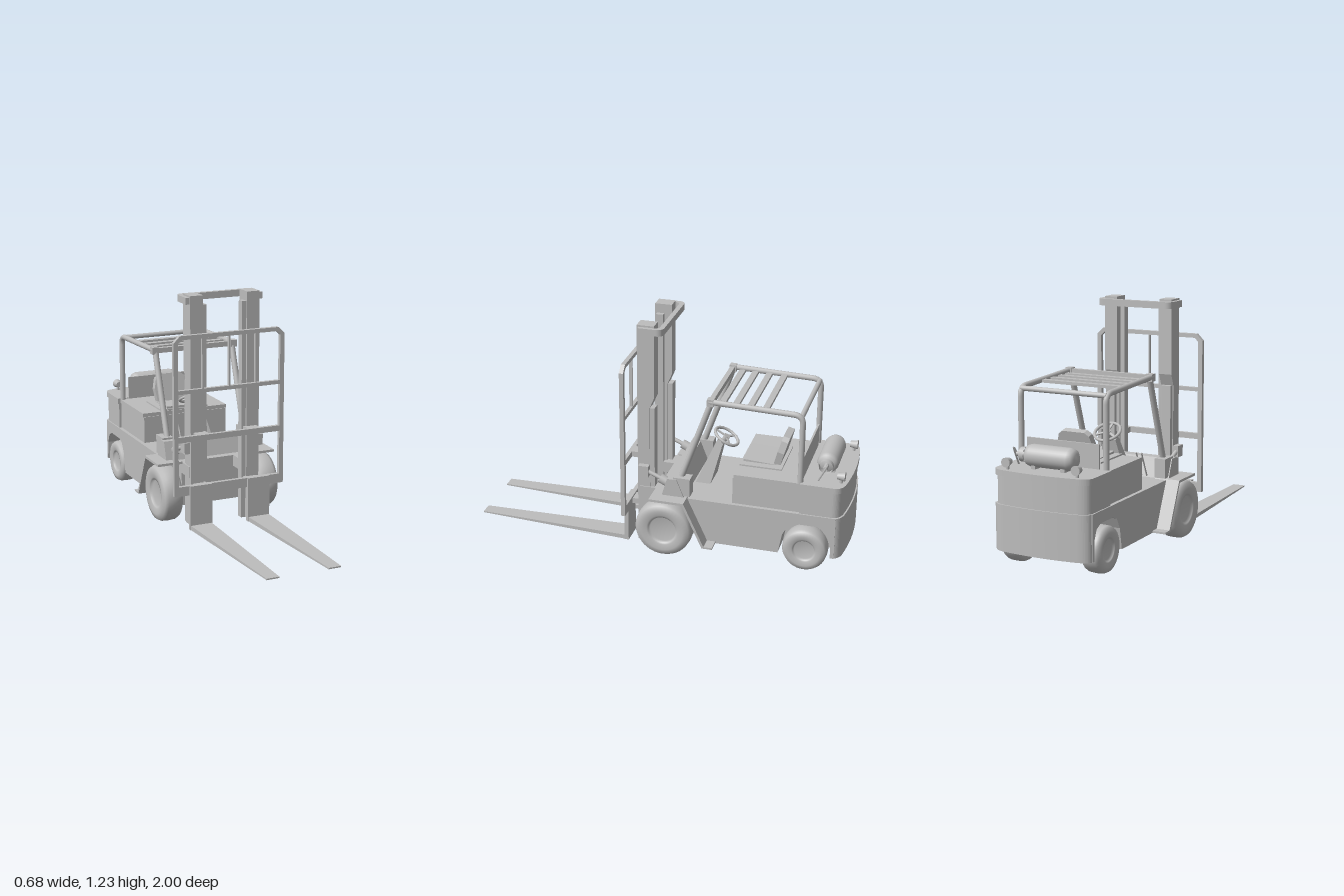
import * as THREE from 'three';

const grey = new THREE.MeshStandardMaterial({ color: 0xbdbdbd, side: THREE.DoubleSide });
grey.name = 'plain grey';

export function createModel() {
  const model = new THREE.Group();
  model.name = 'forklift';

  const add = (name, geo) => {
    const m = new THREE.Mesh(geo, grey);
    m.name = name;
    model.add(m);
    return m;
  };
  // box from its limits
  const box = (name, x0, x1, y0, y1, z0, z1) =>
    add(name, new THREE.BoxGeometry(x1 - x0, y1 - y0, z1 - z0)
      .translate((x0 + x1) / 2, (y0 + y1) / 2, (z0 + z1) / 2));
  const shapeOf = pts => new THREE.Shape(pts.map(p => new THREE.Vector2(p[0], p[1])));
  const extrude = (shape, depth) => new THREE.ExtrudeGeometry(shape, { depth, bevelEnabled: false });
  // side profile of [z, y] points, stretched from x0 to x1
  const side = (name, pts, x0, x1) =>
    add(name, extrude(shapeOf(pts.map(([z, y]) => [-z, y])), x1 - x0).rotateY(Math.PI / 2).translate(x0, 0, 0));
  // slab with a bowed, round-cornered rear end
  const rearSlab = (name, w, zFront, zBack, y0, y1) => {
    const s = new THREE.Shape();
    s.moveTo(-w, -zFront);
    s.lineTo(w, -zFront);
    s.lineTo(w, -zBack - 0.07);
    s.quadraticCurveTo(w, -zBack - 0.025, w - 0.06, -zBack - 0.015);
    s.quadraticCurveTo(0, -zBack + 0.015, 0.06 - w, -zBack - 0.015);
    s.quadraticCurveTo(-w, -zBack - 0.025, -w, -zBack - 0.07);
    return add(name, extrude(s, y1 - y0).rotateX(-Math.PI / 2).translate(0, y0, 0));
  };
  // tube along points with rounded bends
  const pipe = (name, points, r, bend = 0.04, sides = 10) => {
    const p = points.map(a => new THREE.Vector3(...a));
    const path = new THREE.CurvePath();
    let last = p[0];
    for (let i = 1; i < p.length - 1; i++) {
      const a = p[i].clone().add(p[i - 1].clone().sub(p[i]).setLength(bend));
      const b = p[i].clone().add(p[i + 1].clone().sub(p[i]).setLength(bend));
      path.add(new THREE.LineCurve3(last, a));
      path.add(new THREE.QuadraticBezierCurve3(a, p[i], b));
      last = b;
    }
    path.add(new THREE.LineCurve3(last, p[p.length - 1]));
    return add(name, new THREE.TubeGeometry(path, p.length > 2 ? 64 : 1, r, sides));
  };
  // capped straight rod
  const rod = (name, a, b, r, r2 = r) => {
    const A = new THREE.Vector3(...a), B = new THREE.Vector3(...b), d = B.clone().sub(A);
    const m = add(name, new THREE.CylinderGeometry(r2, r, d.length(), 16));
    m.position.copy(A).add(B).multiplyScalar(0.5);
    m.quaternion.setFromUnitVectors(new THREE.Vector3(0, 1, 0), d.normalize());
    return m;
  };
  // rounded tyre with a dished hub, axle along x
  const wheel = (name, x, y, z, r, w, rim) => {
    const pts = [[0, 0.3], [rim * 0.8, 0.3], [rim * 0.88, 0.42], [rim, 0.43], [rim + (r - rim) * 0.4, 0.5],
      [r * 0.92, 0.43], [r * 0.985, 0.28], [r, 0]];
    const all = [...pts, ...pts.slice(0, -1).reverse().map(([a, b]) => [a, -b])];
    const geo = new THREE.LatheGeometry(all.map(([a, b]) => new THREE.Vector2(a, -b * w)), 40);
    add(name, geo.rotateZ(-Math.PI / 2).translate(x, y, z));
  };

  // chassis with rear wheel arches
  const profile = [[-0.17, 0.33], [-0.28, 0.09], [-0.66, 0.09], [-0.68, 0.2], [-0.71, 0.255], [-0.75, 0.27],
    [-0.87, 0.27], [-0.91, 0.25], [-0.93, 0.2], [-0.94, 0.1], [-0.95, 0.1], [-0.95, 0.33]];
  side('chassisSideLeft', profile, 0.14, 0.265);
  side('chassisSideRight', profile, -0.265, -0.14);
  box('chassisCore', -0.14, 0.14, 0.09, 0.33, -0.94, -0.2);
  box('frontChassis', -0.2, 0.2, 0.09, 0.33, -0.28, 0.0);
  rearSlab('counterweight', 0.265, -0.93, -1, 0.1, 0.33);

  // engine hood in two steps
  box('engineHood', -0.245, 0.245, 0.33, 0.475, -0.78, -0.41);
  box('hoodLid', -0.25, 0.25, 0.475, 0.495, -0.78, -0.415);
  rearSlab('rearHood', 0.258, -0.76, -0.993, 0.33, 0.47);
  rearSlab('rearHoodLid', 0.265, -0.76, -1, 0.47, 0.5);
  box('rearPanel', -0.2, 0.2, 0.495, 0.62, -0.765, -0.755);

  // cowl
  side('frontCowl', [[-0.04, 0.33], [-0.07, 0.43], [-0.12, 0.43], [-0.16, 0.33]], -0.27, 0.27);

  // steering column, wheel and levers
  const column = side('steeringColumn', [[-0.17, 0.33], [-0.265, 0.555], [-0.3, 0.54], [-0.25, 0.33]], -1, 1);
  const cp = column.geometry.attributes.position;
  for (let i = 0; i < cp.count; i++) cp.setX(i, cp.getX(i) * (0.075 - (cp.getY(i) - 0.33) * 0.18));
  column.geometry.computeVertexNormals();
  const steering = new THREE.Group();
  steering.name = 'steeringWheel';
  const rim = new THREE.Mesh(new THREE.TorusGeometry(0.068, 0.008, 8, 32).rotateX(Math.PI / 2), grey);
  rim.name = 'steeringRim';
  const hub = new THREE.Mesh(new THREE.CylinderGeometry(0.018, 0.014, 0.03, 16).translate(0, -0.01, 0), grey);
  hub.name = 'steeringHub';
  steering.add(rim, hub);
  for (let i = 0; i < 3; i++) {
    const spoke = new THREE.Mesh(new THREE.BoxGeometry(0.012, 0.006, 0.068).translate(0, 0, 0.034), grey);
    spoke.name = 'steeringSpoke';
    spoke.rotation.y = i * Math.PI * 2 / 3;
    steering.add(spoke);
  }
  steering.position.set(0, 0.582, -0.315);
  steering.rotation.x = -Math.PI / 6;
  model.add(steering);
  rod('steeringShaft', [0, 0.53, -0.28], [0, 0.58, -0.314], 0.012);
  for (const x of [-0.15, -0.12]) rod('controlLever', [x, 0.34, -0.17], [x, 0.47, -0.23], 0.004);

  // seat
  box('seatTray', -0.14, 0.14, 0.495, 0.503, -0.64, -0.42);
  side('seatCushion', [[-0.43, 0.5], [-0.43, 0.515], [-0.6, 0.505], [-0.6, 0.5]], -0.1, 0.1);
  const back = shapeOf([[-0.09, 0], [0.09, 0], [0.1, 0.08], [0.085, 0.14], [0.06, 0.158], [-0.06, 0.158], [-0.085, 0.14], [-0.1, 0.08]]);
  const seatBack = add('seatBack', extrude(back, 0.035));
  seatBack.position.set(0, 0.492, -0.62);
  seatBack.rotation.x = -0.27;

  // gas tank
  const tank = [[0, -0.145], [0.03, -0.14], [0.048, -0.128], [0.055, -0.105], [0.055, 0.1], [0.048, 0.123], [0.03, 0.135], [0, 0.14]];
  add('gasTank', new THREE.LatheGeometry(tank.map(p => new THREE.Vector2(...p)), 32).rotateZ(-Math.PI / 2).translate(0, 0.56, -0.87));
  rod('tankValve', [0.13, 0.56, -0.87], [0.19, 0.56, -0.87], 0.012);
  add('tankCollar', new THREE.CylinderGeometry(0.036, 0.036, 0.025, 20, 1, true).rotateZ(Math.PI / 2).translate(0.15, 0.56, -0.87));
  pipe('tankHose', [[0.19, 0.56, -0.87], [0.2, 0.6, -0.89], [0.2, 0.5, -0.84]], 0.005, 0.02, 6);
  for (const x of [-0.08, 0.08]) box('tankCradle', x - 0.012, x + 0.012, 0.495, 0.52, -0.905, -0.835);

  // overhead guard
  for (const s of [-1, 1]) {
    pipe('guardSide', [[s * 0.235, 0.49, -0.757], [s * 0.235, 0.862, -0.757], [s * 0.235, 0.877, -0.28]], 0.015, 0.045);
    rod('guardFrontLeg', [s * 0.225, 0.36, -0.11], [s * 0.225, 0.875, -0.29], 0.016);
    box('guardCorner', s * 0.23 - 0.018, s * 0.23 + 0.018, 0.855, 0.893, -0.305, -0.27);
    box('legFoot', s * 0.235 - 0.03, s * 0.235 + 0.03, 0.34, 0.44, -0.19, -0.1);
  }
  box('guardFrontBar', -0.235, 0.235, 0.86, 0.887, -0.3, -0.275);
  for (const z of [-0.34, -0.41, -0.485, -0.565]) box('guardSlat', -0.235, 0.235, 0.857, 0.872, z - 0.016, z + 0.016);
  rod('guardRearBar', [-0.235, 0.855, -0.75], [0.235, 0.855, -0.75], 0.013);

  for (const s of [-1, 1]) {
    // wheels and front mudguards
    wheel('frontWheel', s * 0.277, 0.157, -0.06, 0.152, 0.115, 0.085);
    wheel('rearWheel', s * 0.222, 0.122, -0.795, 0.117, 0.105, 0.064);
    const x0 = s > 0 ? 0.2 : -0.338;
    side('mudguard', [[0.01, 0.322], [0.01, 0.335], [-0.175, 0.335], [-0.285, 0.1], [-0.33, 0.1], [-0.33, 0.09],
      [-0.275, 0.09], [-0.168, 0.322]], x0, x0 + 0.138);

    // rear lights
    rod('lightStem', [s * 0.19, 0.495, -0.955], [s * 0.19, 0.52, -0.955], 0.008);
    rod('rearLight', [s * 0.19, 0.535, -0.935], [s * 0.19, 0.535, -0.975], 0.016, 0.024);

    // mast rails
    const rail = (n, a, b, y0, y1, z0, z1) => box(n, Math.min(s * a, s * b), Math.max(s * a, s * b), y0, y1, z0, z1);
    rail('mastRail', 0.124, 0.195, 0.01, 1.23, 0.045, 0.11);
    const ax = s > 0 ? 0.124 : -0.195;
    side('mastRailRear', [[0.045, 1.23], [0.02, 1.23], [0.02, 0.84], [0.045, 0.78]], ax, ax + 0.071);
    rail('innerMast', 0.1, 0.124, 0.01, 1.18, 0.06, 0.1);
    rail('outerMast', 0.14, 0.19, 0.01, 0.78, 0.02, 0.045);
    rail('mastPivot', 0.1, 0.2, 0.27, 0.33, -0.02, 0.1);
    rail('tiltBracket', 0.165, 0.225, 0.4, 0.46, 0.045, 0.1);
    rail('carriageRollerLow', 0.11, 0.18, 0.21, 0.24, 0.1, 0.155);
    rail('carriageRollerHigh', 0.11, 0.18, 0.485, 0.515, 0.1, 0.155);

    // tilt cylinder
    rod('tiltRod', [s * 0.21, 0.43, 0.055], [s * 0.21, 0.385, -0.05], 0.011);
    rod('tiltCylinder', [s * 0.21, 0.4, -0.015], [s * 0.21, 0.355, -0.11], 0.025);

    // fork: upright shank and tapered blade
    rail('forkShank', 0.102, 0.228, 0.012, 0.25, 0.155, 0.178);
    const blade = side('forkBlade', [[0.16, 0.012], [1, 0.031], [1, 0.038], [0.16, 0.036]], -1, 1);
    const bp = blade.geometry.attributes.position;
    for (let i = 0; i < bp.count; i++) {
      const t = (bp.getZ(i) - 0.16) / 0.84;
      bp.setX(i, s * 0.166 + bp.getX(i) * (0.06 - 0.026 * t));
    }
    blade.geometry.computeVertexNormals();
  }

  // strap joining the mast tops
  const strap = new THREE.Shape();
  const outline = (p, w, r, z) => {
    p.moveTo(w, -0.1);
    p.lineTo(w, -z - r);
    p.quadraticCurveTo(w, -z, w - r, -z);
    p.lineTo(r - w, -z);
    p.quadraticCurveTo(-w, -z, -w, -z - r);
    p.lineTo(-w, -0.1);
  };
  outline(strap, 0.215, 0.04, -0.03);
  strap.lineTo(-0.193, -0.1);
  strap.lineTo(-0.193, -0.02);
  strap.quadraticCurveTo(-0.193, 0.005, -0.17, 0.005);
  strap.lineTo(0.17, 0.005);
  strap.quadraticCurveTo(0.193, 0.005, 0.193, -0.02);
  strap.lineTo(0.193, -0.1);
  add('mastTopStrap', extrude(strap, 0.035).rotateX(-Math.PI / 2).translate(0, 1.186, 0));

  // load backrest
  const ring = (w, y0, y1, c) => [[-w, y0], [w, y0], [w, y1 - c], [w - c, y1], [c - w, y1], [-w, y1 - c]];
  const frame = shapeOf(ring(0.312, 0.2, 1.043, 0.035));
  frame.holes.push(new THREE.Path(ring(0.288, 0.25, 1.022, 0.02).map(p => new THREE.Vector2(...p))));
  add('backrestFrame', extrude(frame, 0.022).translate(0, 0, 0.146));
  box('backrestUpperBar', -0.29, 0.29, 0.74, 0.76, 0.147, 0.167);
  box('backrestLowerBar', -0.29, 0.29, 0.485, 0.515, 0.147, 0.167);
  for (const x of [-0.15, 0, 0.15]) box('backrestUpright', x - 0.004, x + 0.004, 0.75, 1.03, 0.148, 0.166);

  return model;
}
